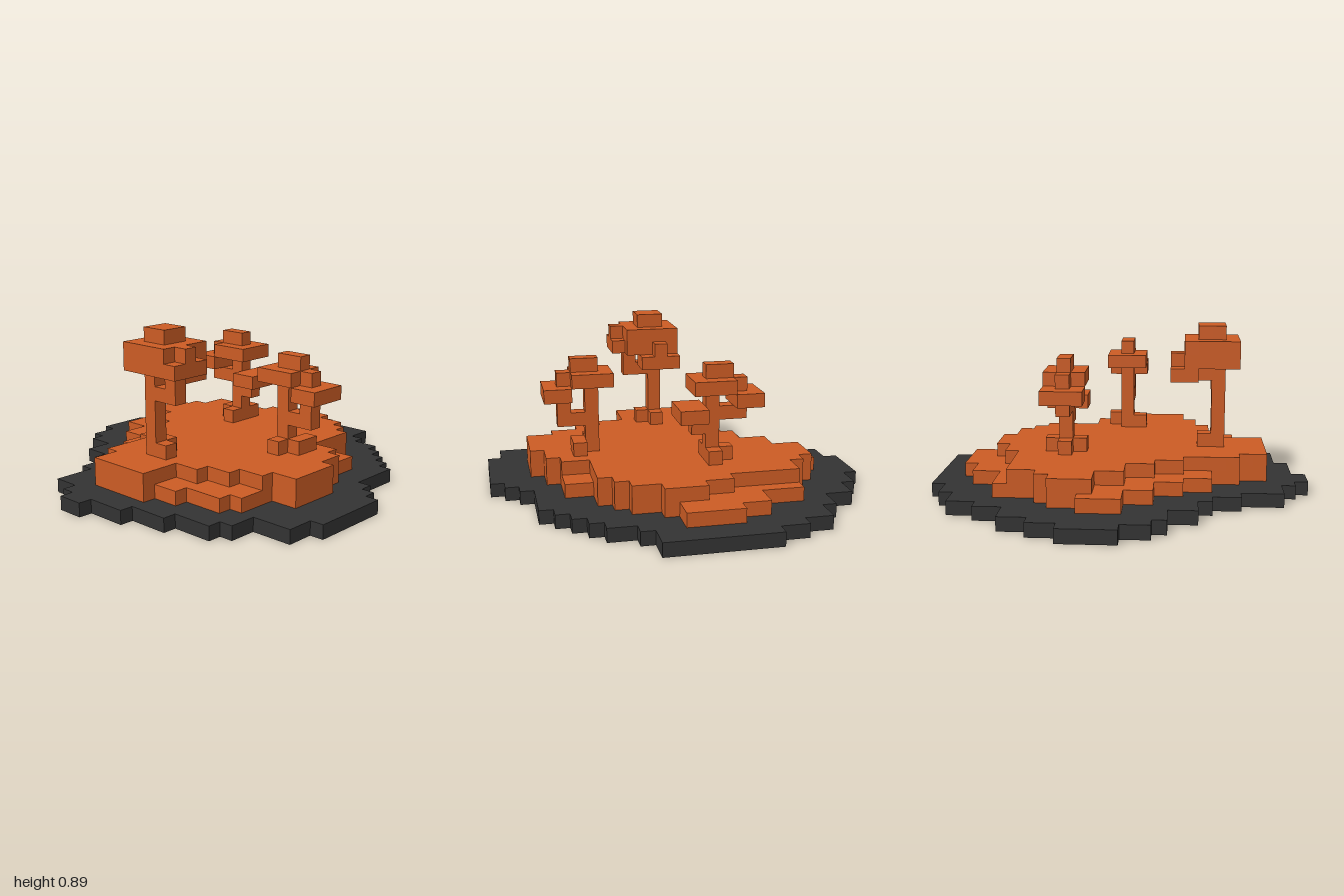
import * as THREE from 'three';

const N = 27, S = 2 / N; // cells across, cell size

// Coast lines as [row, column] turning points, back to front
const shoreRight = [[0, 13], [1, 11], [3, 9.6], [4, 8.4], [6, 6.8], [8, 2.4], [11, 0], [12, 0.3], [21, 3.3], [23, 5.6], [25, 6.3], [26, 8]];
const shoreLeft = [[0, 17], [2, 21], [3, 21.2], [5, 24.6], [9, 26.6], [16, 27], [17, 25.4], [23, 19.7], [24, 16.4], [26, 14]];
const landRight = [[3, 13], [4, 12.6], [5, 11.3], [6, 10.6], [8, 7.3], [9, 6.7], [11, 3], [15, 3.3], [21, 5.8], [22, 9]];
const landLeft = [[3, 16], [5, 19.4], [6, 21.6], [8, 22.4], [9, 23.7], [11, 24.8], [14, 24.6], [15, 23], [17, 21.8], [20, 18.4], [21, 17.6], [23, 13]];
const terraceRight = [[5, 14.6], [6, 13.4], [7, 12.6], [9, 9], [10, 5], [11, 3], [15, 3], [16, 5.5], [21, 8]];
const terraceLeft = [[10, 21.2], [13, 22.7], [19, 23], [20, 16.3]];

// Column of a coast line at a given row, snapped to whole cells
function columnAt(line, row) {
  const i = line.findIndex(([r]) => r >= row);
  if (i < 0) return Math.round(line.at(-1)[1]);
  if (i === 0) return Math.round(line[0][1]);
  const [r0, c0] = line[i - 1], [r1, c1] = line[i];
  return Math.round(c0 + ((c1 - c0) * (row - r0)) / (r1 - r0));
}

// Add a block of cells from a lowest corner and its size
function block(cells, x, y, z, w = 1, h = 1, d = 1) {
  for (let i = x; i < x + w; i++)
    for (let j = y; j < y + h; j++)
      for (let k = z; k < z + d; k++) cells.set([i, j, k].join(), [i, j, k]);
}

// One flat layer inside all the given coast lines
function layer(y, firstRow, lastRow, rights, lefts) {
  const cells = new Map();
  for (let z = firstRow; z <= lastRow; z++) {
    const start = Math.max(...rights.map((line) => columnAt(line, z)));
    const end = Math.min(...lefts.map((line) => columnAt(line, z)));
    block(cells, start, y, z, end - start);
  }
  return cells;
}

// Branch: arm out from the trunk, riser, three-wide leaf pad and a twig on top
function branch(cells, x, z, [dx, dz], { low, high, reach, twig }) {
  const put = (step, side, y) => block(cells, x + dx * step + dz * side, y, z + dz * step + dx * side);
  for (let step = 1; step <= reach; step++) put(step, 0, low);
  for (let y = low; y <= high; y++) put(reach, 0, y);
  for (const side of [-1, 0, 1]) {
    put(reach, side, high);
    put(reach + 1, side, high);
  }
  if (twig) put(twig, 0, high + 1);
}

function tallTree() {
  const cells = new Map(), x = 6, z = 13;
  block(cells, x, 3, z, 1, 7);                // trunk
  block(cells, x + 1, 3, z);                  // roots
  block(cells, x, 3, z + 1);
  block(cells, x - 1, 9, z - 1, 4, 2, 4);     // crown
  block(cells, x, 11, z, 2, 1, 2);            // cap
  branch(cells, x, z, [0, 1], { low: 7, high: 9, reach: 2, twig: 3 });
  branch(cells, x, z, [1, 0], { low: 8, high: 8, reach: 2, twig: 3 });
  return cells;
}

// Small tree whose cap and front or back root lean towards dz
function smallTree(x, z, dz) {
  const cells = new Map();
  block(cells, x, 3, z, 1, 6);                // trunk
  block(cells, x - 1, 3, z);                  // roots
  block(cells, x, 3, z + dz);
  block(cells, x + 1, 3, dz > 0 ? z + 1 : z);
  block(cells, x - 1, 8, z - 1, 3, 1, 3);     // crown
  block(cells, x, 9, Math.min(z, z + dz), 1, 1, 2); // cap
  branch(cells, x, z, [0, dz], { low: dz > 0 ? 5 : 6, high: 7, reach: 2, twig: 2 });
  return cells;
}

function backTree() {
  const cells = smallTree(17, 11, -1);
  branch(cells, 17, 11, [0, 1], { low: 5, high: 6, reach: 1, twig: 0 });
  block(cells, 17, 5, 12);
  return cells;
}

// Outer skin of the cells: only faces next to empty space, open underneath
function skin(cells, filled) {
  const pos = [], nor = [], index = [];
  for (const cell of cells.values()) {
    for (let axis = 0; axis < 3; axis++) {
      for (const dir of [-1, 1]) {
        const next = [...cell];
        next[axis] += dir;
        if (next[1] < 0 || filled.has(next.join())) continue;
        const u = (axis + 1) % 3, v = (axis + 2) % 3, first = pos.length / 3;
        for (const [a, b] of [[0, 0], [1, 0], [1, 1], [0, 1]]) {
          const p = [...cell], n = [0, 0, 0];
          p[axis] += dir > 0 ? 1 : 0;
          p[u] += a;
          p[v] += b;
          n[axis] = dir;
          pos.push(p[0] * S - 1, p[1] * S, p[2] * S - 1);
          nor.push(...n);
        }
        const corners = dir > 0 ? [0, 1, 2, 0, 2, 3] : [0, 2, 1, 0, 3, 2];
        index.push(...corners.map((i) => first + i));
      }
    }
  }
  const geometry = new THREE.BufferGeometry();
  geometry.setAttribute('position', new THREE.Float32BufferAttribute(pos, 3));
  geometry.setAttribute('normal', new THREE.Float32BufferAttribute(nor, 3));
  geometry.setIndex(index);
  return geometry;
}

export function createModel() {
  const group = new THREE.Group();
  group.name = 'island';
  const parts = {
    shore: layer(0, 0, 26, [shoreRight], [shoreLeft]),
    lowerTerrace: layer(1, 3, 23, [landRight], [landLeft]),
    upperTerrace: layer(2, 4, 23, [landRight, terraceRight], [landLeft, terraceLeft]),
    tallTree: tallTree(),
    frontTree: smallTree(13, 19, 1),
    backTree: backTree(),
  };
  const filled = new Set(Object.values(parts).flatMap((cells) => [...cells.keys()]));
  for (const [name, cells] of Object.entries(parts)) {
    const color = name === 'shore' ? 0x333333 : 0xcc5c24;
    const material = new THREE.MeshStandardMaterial({ color, side: THREE.DoubleSide });
    const mesh = new THREE.Mesh(skin(cells, filled), material);
    mesh.name = name;
    group.add(mesh);
  }
  return group;
}
